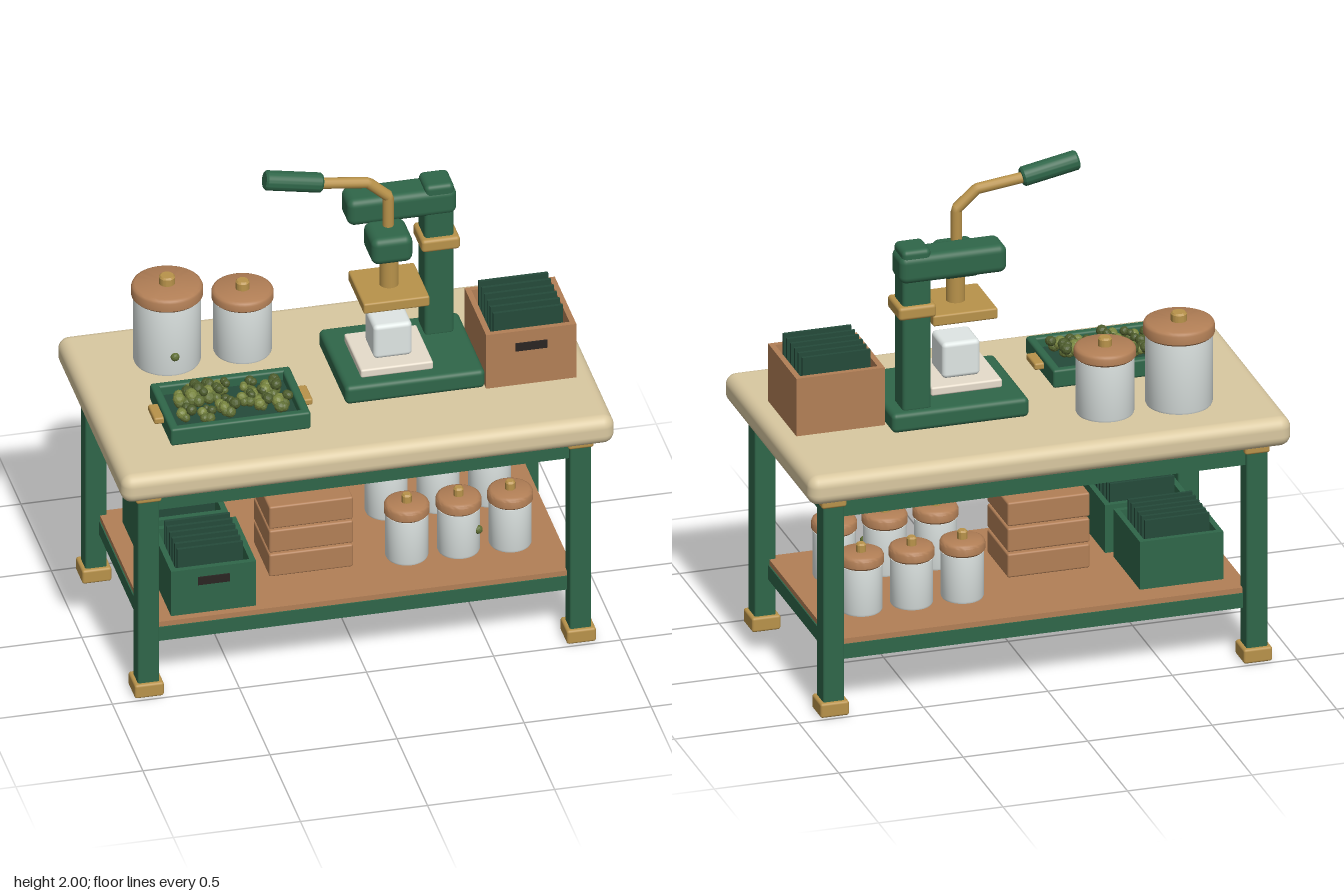
import * as THREE from 'three';
import { RoundedBoxGeometry } from 'three/addons/geometries/RoundedBoxGeometry.js';
import { toCreasedNormals } from 'three/addons/utils/BufferGeometryUtils.js';

const mat = (color, extra = {}) => new THREE.MeshStandardMaterial({ color, ...extra });
const green = mat(0x2f6649), darkGreen = mat(0x244a3a), brass = mat(0xb8924a), wood = mat(0xb27f56);
const cream = mat(0xd9c8a0), glass = mat(0xdfe6e4), pale = mat(0xe6dccb), black = mat(0x2a2422);
const leaf = [0x5f6e34, 0x78853f, 0x4d5c2c].map(c => mat(c, { flatShading: true }));

export function createModel() {
  const root = new THREE.Group();

  let seed = 7;
  const rand = () => (seed = (seed * 16807) % 2147483647) / 2147483647;

  const group = (name, x = 0, y = 0, z = 0, parent = root) => {
    const g = new THREE.Group();
    g.name = name;
    g.position.set(x, y, z);
    parent.add(g);
    return g;
  };
  const add = (name, geo, material, x, y, z, parent = root) => {
    const m = new THREE.Mesh(geo, material);
    m.name = name;
    m.position.set(x, y, z);
    parent.add(m);
    return m;
  };
  // Box given by its base height; r > 0 rounds the edges
  const box = (name, w, h, d, material, x, y, z, r = 0, parent = root) =>
    add(name, r ? new RoundedBoxGeometry(w, h, d, 4, r) : new THREE.BoxGeometry(w, h, d), material, x, y + h / 2, z, parent);
  const lathe = pts => toCreasedNormals(
    new THREE.LatheGeometry(pts.map(p => new THREE.Vector2(...p)), 40), 0.7);

  // Table top, legs and rails
  box('tableTop', 1.94, 0.12, 1.1, cream, 0, 0.91, 0, 0.045);
  for (const sx of [-1, 1]) {
    for (const sz of [-1, 1]) {
      const leg = group('leg', sx * 0.85, 0, sz * 0.43);
      box('legPost', 0.085, 0.88, 0.085, green, 0, 0.03, 0, 0.008, leg);
      box('legFoot', 0.115, 0.06, 0.115, brass, 0, 0, 0, 0.01, leg);
      box('legCollar', 0.1, 0.035, 0.1, brass, 0, 0.868, 0, 0.01, leg);
    }
    box('sideApron', 0.055, 0.09, 0.82, green, sx * 0.85, 0.82, 0);
    box('longApron', 1.66, 0.09, 0.055, green, 0, 0.82, sx * 0.43);
  }
  box('shelfFrame', 1.68, 0.06, 0.85, green, 0, 0.21, 0);
  box('shelfBoard', 1.67, 0.022, 0.84, wood, 0, 0.27, 0);

  // Lidded jar: r is the body radius, h the height of the lid's underside
  const jar = (name, x, y, z, r, h, lidH) => {
    const g = group(name, x, y, z);
    const R = r * 1.06, k = r * 0.24, b = 0.012, t = h + lidH;
    add('jarBody', lathe([[0, 0], [r - b, 0], [r - b * 0.3, b * 0.3], [r, b], [r, h], [0, h]]), glass, 0, 0, 0, g);
    add('jarLid', lathe([[0, h], [R - 0.008, h], [R, h + 0.008], [R, t - 0.014],
      [R - 0.004, t - 0.005], [R - 0.014, t], [0, t]]), wood, 0, 0, 0, g);
    add('jarKnob', lathe([[0, t], [k, t], [k, t + 0.028], [k - 0.006, t + 0.035], [0, t + 0.035]]), brass, 0, 0, 0, g);
    return g;
  };
  jar('largeJar', -0.6, 1.03, -0.27, 0.13, 0.29, 0.055);
  jar('mediumJar', -0.303, 1.03, -0.27, 0.113, 0.235, 0.045);
  for (const z of [0.167, -0.17])
    for (const x of [0.238, 0.442, 0.645]) jar('shelfJar', x, 0.29, z, 0.083, 0.195, 0.05);

  // Herb buds: lumpy clusters of small faceted balls
  const bud = (x, y, z, size) => {
    const g = group('bud', x, y, z);
    for (let i = 0; i < 7; i++) {
      const a = i * 2.4 + rand(), s = size * (0.55 + rand() * 0.3), d = i ? size * 0.75 : 0;
      const m = add('budLobe', new THREE.IcosahedronGeometry(s, 1), leaf[i % 3],
        Math.cos(a) * d, size * (0.5 + (i % 3) * 0.45), Math.sin(a) * d, g);
      m.rotation.set(rand() * 3, rand() * 3, 0);
    }
  };
  [[-0.63, 0.13], [-0.59, 0.09], [-0.54, 0.095], [-0.475, 0.095], [-0.58, 0.145], [-0.515, 0.13],
    [-0.49, 0.22], [-0.645, 0.235], [-0.57, 0.26], [-0.48, 0.25], [-0.375, 0.13], [-0.29, 0.14],
    [-0.4, 0.2], [-0.35, 0.18], [-0.345, 0.235], [-0.265, 0.25], [-0.3, 0.17]]
    .forEach(([x, z]) => bud(x, 1.075 + rand() * 0.02, z, 0.025 + rand() * 0.007));
  add('jarBud', new THREE.IcosahedronGeometry(0.018, 1), leaf[0], -0.6, 1.12, -0.14);
  add('jarBud', new THREE.IcosahedronGeometry(0.018, 1), leaf[0], 0.507, 0.4, 0.218);

  // Herb tray with rim and brass handles
  const tray = group('herbTray', -0.458, 1.03, 0.176);
  box('trayFloor', 0.5, 0.035, 0.31, darkGreen, 0, 0, 0, 0, tray);
  for (const s of [-1, 1]) {
    box('trayLongRim', 0.55, 0.075, 0.034, green, 0, 0, s * 0.159, 0.01, tray);
    box('trayShortRim', 0.034, 0.075, 0.352, green, s * 0.258, 0, 0, 0.01, tray);
    box('trayHandle', 0.05, 0.028, 0.11, brass, s * 0.287, 0.03, 0, 0.008, tray);
  }

  // Press: base, column, arm, ram and plates
  const press = group('press');
  box('pressBase', 0.55, 0.08, 0.45, green, 0.261, 1.03, -0.005, 0.02, press);
  box('pressColumn', 0.115, 0.64, 0.115, green, 0.428, 1.1, -0.143, 0.015, press);
  box('columnCollar', 0.152, 0.055, 0.152, brass, 0.43, 1.49, -0.14, 0.014, press);
  box('pressArm', 0.43, 0.115, 0.135, green, 0.283, 1.636, -0.147, 0.03, press);
  box('columnCap', 0.115, 0.06, 0.125, green, 0.43, 1.715, -0.145, 0.02, press);
  box('pressHead', 0.162, 0.115, 0.168, green, 0.2, 1.563, 0.022, 0.03, press);
  add('pressRam', new THREE.CylinderGeometry(0.037, 0.037, 0.14, 28), brass, 0.2, 1.505, 0.035, press);
  box('pressPlate', 0.26, 0.045, 0.258, brass, 0.2, 1.395, 0.035, 0.008, press);
  box('lowerPlate', 0.285, 0.036, 0.28, pale, 0.2, 1.113, 0.03, 0.008, press);
  box('pressedBlock', 0.152, 0.148, 0.152, glass, 0.2, 1.148, 0.03, 0.018, press);

  // Lever: bent brass rod ending in a grip
  const path = new THREE.CurvePath();
  const P = [[0.2, 1.695], [0.2, 1.825], [0.12, 1.897], [-0.08, 1.922]].map(p => new THREE.Vector3(...p, 0.022));
  for (let i = 0; i < 3; i++) path.add(new THREE.LineCurve3(P[i], P[i + 1]));
  add('leverRod', new THREE.TubeGeometry(path, 40, 0.022, 14), brass, 0, 0, 0, press);
  add('leverRodEnd', new THREE.CircleGeometry(0.022, 14).rotateX(Math.PI / 2), brass, 0.2, 1.695, 0.022, press);
  const grip = add('leverGrip', lathe([[0, -0.115], [0.032, -0.115], [0.039, -0.107], [0.039, 0.107],
    [0.032, 0.115], [0, 0.115]]), green, -0.174, 1.944, 0.022, press);
  grip.rotation.z = Math.PI / 2 - 0.19;

  // Open crate filled with upright cards
  const crate = (name, x, y, z, w, h, material, step) => {
    const g = group(name, x, y, z), t = 0.022, e = (w - t) / 2;
    box('crateFloor', w, 0.02, w, material, 0, 0, 0, 0, g);
    for (const s of [-1, 1]) {
      box('crateSide', t, h, w, material, s * e, 0, 0, 0, g);
      box('crateEnd', w - 2 * t, h, t, material, 0, 0, s * e, 0, g);
    }
    box('crateGrip', 0.125, 0.034, 0.012, black, 0, h * 0.64, w / 2, 0, g);
    for (let i = 0; i < 6; i++)
      box('card', w * 0.77, h + 0.04, 0.013, darkGreen, 0, 0.02, (i - 2.5) * step, 0, g);
    return g;
  };
  const top = crate('woodCrate', 0.715, 1.03, 0.045, 0.355, 0.24, wood, 0.048);
  box('paperStack', 0.275, 0.17, 0.028, pale, 0, 0.02, 0.142, 0, top);
  crate('shelfCrate', -0.575, 0.291, 0.222, 0.335, 0.2, green, 0.042);
  crate('shelfCrate', -0.595, 0.291, -0.153, 0.335, 0.2, green, 0.042);

  // Stacked wooden boxes
  for (let i = 0; i < 3; i++)
    box('stackedBox', 0.33, 0.099, 0.26, wood, -0.145, 0.291 + i * 0.107, 0.07, 0.008);

  return root;
}
